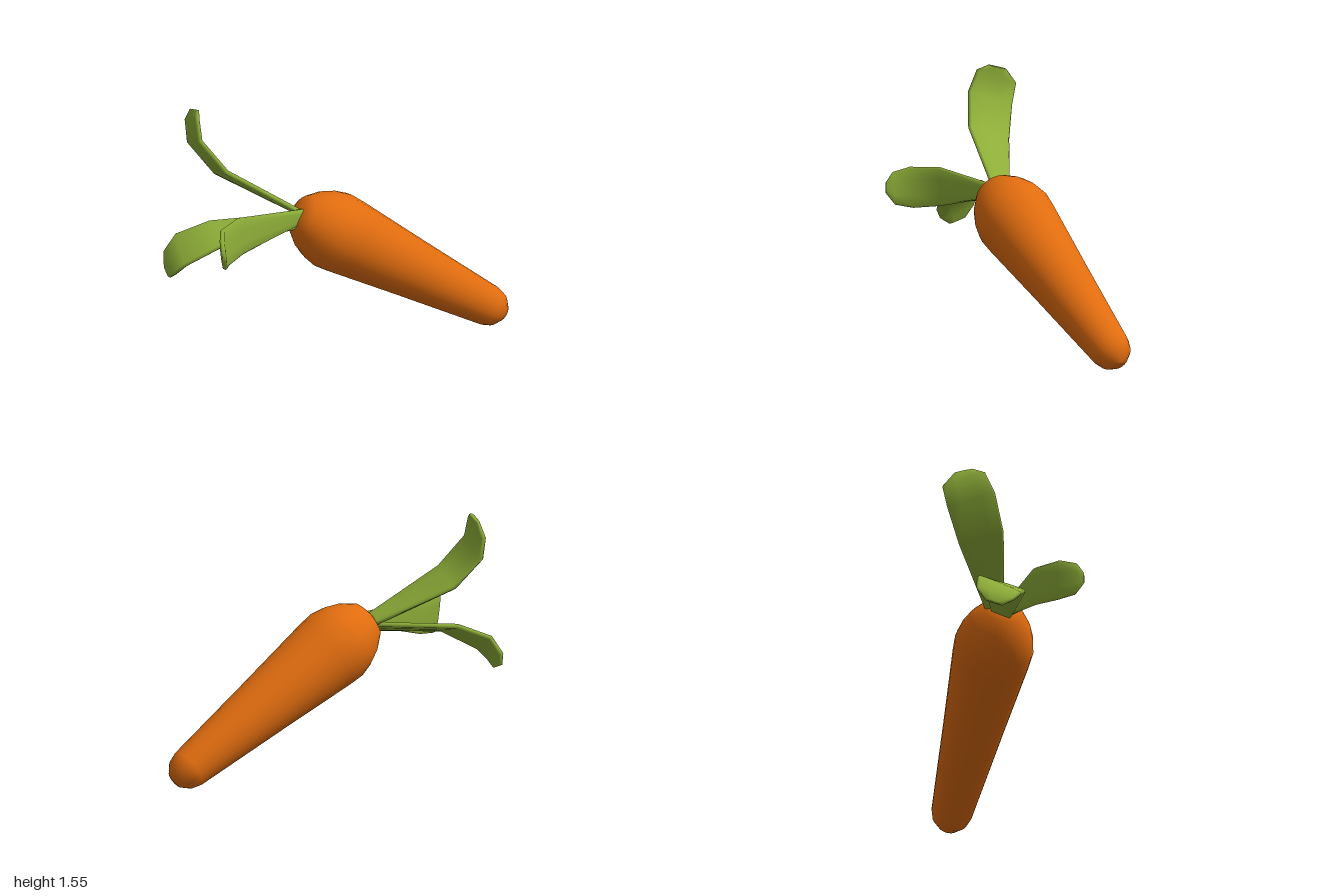
import * as THREE from 'three';

const orange = new THREE.MeshStandardMaterial({ color: 0xe06c0f });
orange.name = 'carrot orange';
const green = new THREE.MeshStandardMaterial({ color: 0x8dad38 });
green.name = 'leaf green';

const V = (p) => new THREE.Vector3(...p);

// Rounded flat cross-section: x across the blade, y through its thickness
const SECTION = [[1, 0], [0.9, 0.8], [0.4, 1], [-0.4, 1], [-0.9, 0.8], [-1, 0], [-0.9, -0.8], [-0.4, -1], [0.4, -1], [0.9, -0.8]];
const THICKNESS = 0.018;

// A blade lofted through rows of paired edge points, running from base to tip
function makeLeaf(name, rows) {
  const edges = rows.map(([a, b]) => [V(a), V(b)]);
  // sink the base into the root
  const heart = new THREE.Vector3(-0.11, 0.86, 0.03);
  edges.unshift(edges[0].map((p) => p.clone().lerp(heart, 0.6)));
  const centers = edges.map(([a, b]) => a.clone().add(b).multiplyScalar(0.5));
  const last = edges.length - 1;
  const n = SECTION.length;
  const positions = [];
  const index = [];

  edges.forEach(([a, b], i) => {
    const half = b.clone().sub(a).multiplyScalar(0.5);
    const before = centers[i].clone().sub(centers[Math.max(i - 1, 0)]).normalize();
    const after = centers[Math.min(i + 1, last)].clone().sub(centers[i]).normalize();
    const normal = before.add(after).cross(half).normalize();
    const t = i === last ? THICKNESS * 0.7 : THICKNESS;
    for (const [u, v] of SECTION) {
      const p = centers[i].clone().addScaledVector(half, u).addScaledVector(normal, v * t);
      positions.push(p.x, p.y, p.z);
    }
  });
  for (let i = 0; i < last; i++) {
    for (let j = 0; j < n; j++) {
      const k = (j + 1) % n;
      const a = i * n + j, b = i * n + k, c = a + n, d = b + n;
      index.push(a, b, d, a, d, c);
    }
  }
  // close the tip
  positions.push(...centers[last].toArray());
  for (let j = 0; j < n; j++) {
    index.push(last * n + j, last * n + ((j + 1) % n), (last + 1) * n);
  }

  const geometry = new THREE.BufferGeometry();
  geometry.setAttribute('position', new THREE.Float32BufferAttribute(positions, 3));
  geometry.setIndex(index);
  geometry.computeVertexNormals();
  const mesh = new THREE.Mesh(geometry, green);
  mesh.name = name;
  return mesh;
}

// Tapered root turned around its slanted axis, from crown to tip
function makeRoot() {
  const profile = [
    [0, -0.275], [0.065, -0.27], [0.125, -0.245], [0.187, -0.16], [0.222, -0.08], [0.24, 0], [0.234, 0.1],
    [0.183, 0.6], [0.124, 1.22], [0.105, 1.28], [0.057, 1.33], [0, 1.345],
  ].map(([r, s]) => new THREE.Vector2(r, s));
  const mesh = new THREE.Mesh(new THREE.LatheGeometry(profile, 24), orange);
  const axis = new THREE.Vector3(0.725, -0.53, -0.44).normalize();
  mesh.quaternion.setFromUnitVectors(new THREE.Vector3(0, 1, 0), axis);
  mesh.position.set(0, 0.775, -0.045);
  mesh.name = 'root';
  return mesh;
}

export function createModel() {
  const group = new THREE.Group();
  group.name = 'carrot';
  group.add(makeRoot());

  group.add(makeLeaf('upperLeaf', [
    [[-0.2, 0.94, 0.08], [-0.22, 0.89, -0.03]],
    [[-0.61, 1.21, 0.2], [-0.71, 1.12, -0.05]],
    [[-0.77, 1.4, 0.195], [-0.87, 1.3, -0.075]],
    [[-0.795, 1.53, 0.14], [-0.885, 1.43, -0.1]],
    [[-0.8, 1.555, 0.07], [-0.85, 1.52, -0.04]],
  ]));

  group.add(makeLeaf('lowerLeaf', [
    [[-0.2, 0.84, 0.12], [-0.24, 0.89, 0.01]],
    [[-0.62, 0.79, 0.34], [-0.73, 0.86, 0.1]],
    [[-0.84, 0.67, 0.38], [-0.925, 0.785, 0.13]],
    [[-0.91, 0.605, 0.355], [-0.99, 0.68, 0.145]],
    [[-0.945, 0.565, 0.3], [-0.985, 0.6, 0.2]],
  ]));

  group.add(makeLeaf('frontLeaf', [
    [[-0.16, 0.95, 0.08], [-0.18, 0.86, 0.09]],
    [[-0.53, 0.985, 0.37], [-0.5, 0.755, 0.37]],
    [[-0.61, 0.975, 0.55], [-0.58, 0.73, 0.53]],
    [[-0.6, 0.945, 0.655], [-0.58, 0.75, 0.64]],
    [[-0.585, 0.885, 0.695], [-0.58, 0.82, 0.695]],
  ]));
  return group;
}
